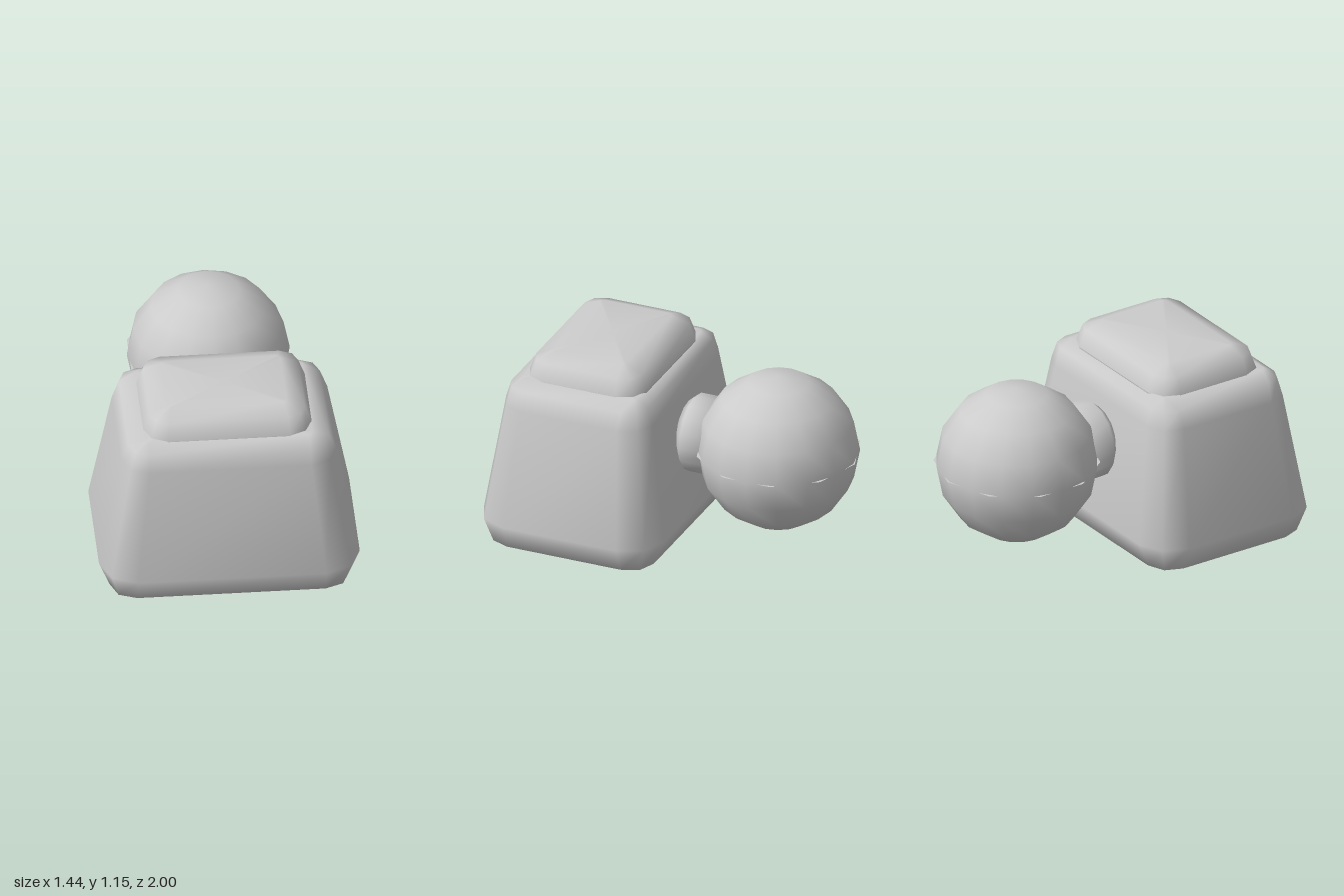
import * as THREE from 'three';

const material = new THREE.MeshStandardMaterial({ color: 0xcccccc });
const thinMaterial = new THREE.MeshStandardMaterial({ color: 0xcccccc, side: THREE.DoubleSide });

// Rectangle with two-segment bevelled corners, running from +x towards +z.
// r is the corner size, k the inset of the middle corner point.
function ring(hx, hz, r, k) {
  const pts = [];
  for (const [sx, sz] of [[1, 1], [-1, 1], [-1, -1], [1, -1]]) {
    const corner = [[hx, hz - r], [hx - k, hz - k], [hx - r, hz]];
    if (sx * sz < 0) corner.reverse();
    for (const [x, z] of corner) pts.push([sx * x, sz * z]);
  }
  return pts;
}

// Smooth closed solid through levels of [y, halfX, halfZ, r, k].
function loft(levels) {
  const pos = [], index = [], n = 12;
  for (const [y, hx, hz, r, k] of levels) {
    for (const [x, z] of ring(hx, hz, r, k)) pos.push(x, y, z);
  }
  const bottom = levels.length * n, top = bottom + 1, last = (levels.length - 1) * n;
  pos.push(0, levels[0][0], 0, 0, levels[levels.length - 1][0], 0);
  for (let i = 0; i < n; i++) {
    const j = (i + 1) % n;
    for (let l = 0; l < last; l += n) {
      index.push(l + i, l + n + i, l + j, l + j, l + n + i, l + n + j);
    }
    index.push(bottom, i, j, top, last + j, last + i);
  }
  const geo = new THREE.BufferGeometry();
  geo.setAttribute('position', new THREE.Float32BufferAttribute(pos, 3));
  geo.setIndex(index);
  geo.computeVertexNormals();
  return geo;
}

export function createModel() {
  const model = new THREE.Group();
  const add = (name, geo, x, y, z, mat = material) => {
    const mesh = new THREE.Mesh(geo, mat);
    mesh.name = name;
    mesh.position.set(x, y, z);
    model.add(mesh);
    return mesh;
  };

  // Tapered body with softened edges
  add('body', loft([
    [0, 0.52, 0.34, 0.02, 0.006],
    [0.065, 0.66, 0.48, 0.14, 0.04],
    [0.21, 0.72, 0.54, 0.2, 0.06],
    [0.88, 0.595, 0.44, 0.15, 0.045],
    [0.98, 0.555, 0.41, 0.11, 0.033],
    [1.02, 0.46, 0.34, 0.02, 0.006],
  ]), 0, 0, 0.46);

  // Raised lid on top
  add('lid', loft([
    [1.0, 0.465, 0.35, 0.13, 0.04],
    [1.02, 0.465, 0.35, 0.13, 0.04],
    [1.115, 0.43, 0.315, 0.1, 0.03],
    [1.155, 0.33, 0.215, 0.02, 0.006],
  ]), 0, 0, 0.455);

  // Short neck joining the ball to the back
  const profile = [[0, -0.25], [0.22, -0.25], [0.22, -0.04], [0.185, 0], [0, 0.01]];
  const neck = new THREE.LatheGeometry(profile.map(([r, y]) => new THREE.Vector2(r, y)), 16);
  neck.rotateX(Math.PI / 2);
  add('neck', neck, 0, 0.64, 0);

  // Ball and the thin ten-sided plate across its middle
  add('ball', new THREE.SphereGeometry(0.45, 16, 8), 0, 0.64, -0.54);
  const plate = new THREE.CircleGeometry(0.46, 10, Math.PI / 2);
  plate.rotateX(-Math.PI / 2);
  add('ballPlate', plate, 0, 0.64, -0.54, thinMaterial);

  return model;
}
